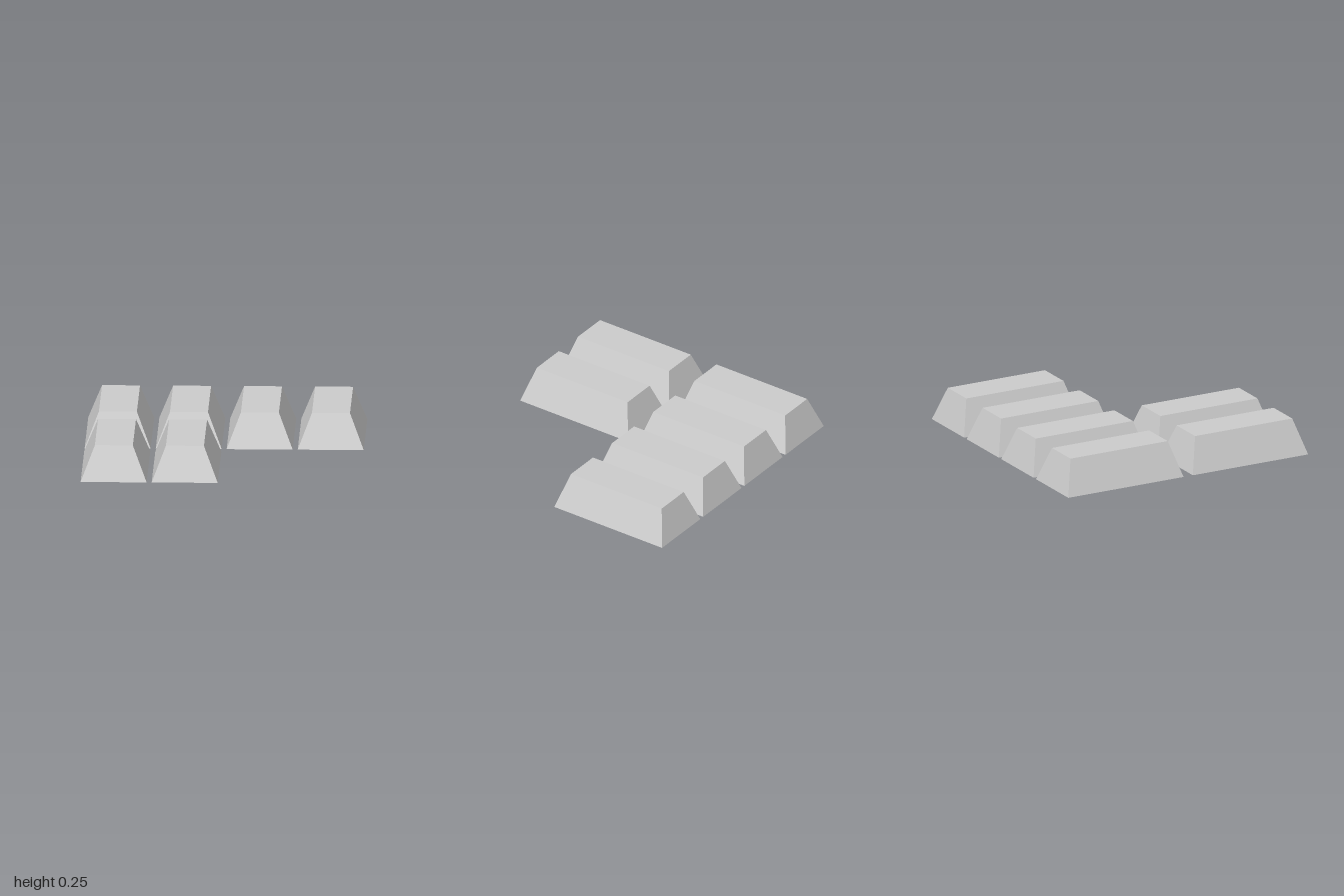
import * as THREE from 'three';

const BASE = { w: 0.473, d: 0.946 };
const TOP = { w: 0.272, d: 0.797 };
const HEIGHT = 0.254;

// Box whose upper corners are drawn inwards to give four sloping sides
function taperedBar() {
  const geo = new THREE.BoxGeometry(BASE.w, HEIGHT, BASE.d).translate(0, HEIGHT / 2, 0);
  const pos = geo.attributes.position;
  for (let i = 0; i < pos.count; i++) {
    if (pos.getY(i) < HEIGHT / 2) continue;
    pos.setX(i, Math.sign(pos.getX(i)) * TOP.w / 2);
    pos.setZ(i, Math.sign(pos.getZ(i)) * TOP.d / 2);
  }
  geo.computeVertexNormals();
  return geo;
}

export function createModel() {
  const model = new THREE.Group();
  model.name = 'ingots';
  const material = new THREE.MeshStandardMaterial({ color: 0xcccccc, flatShading: true });
  const geometry = taperedBar();
  const columns = [-0.763, -0.254, 0.254, 0.763];

  // Full row of four at the back, two bars on the right at the front
  const rows = [
    { name: 'backIngot', z: -0.511, count: 4 },
    { name: 'frontIngot', z: 0.511, count: 2 },
  ];
  for (const row of rows) {
    for (let i = 0; i < row.count; i++) {
      const bar = new THREE.Mesh(geometry, material);
      bar.name = `${row.name}${i + 1}`;
      bar.position.set(columns[i], 0, row.z);
      model.add(bar);
    }
  }
  return model;
}
